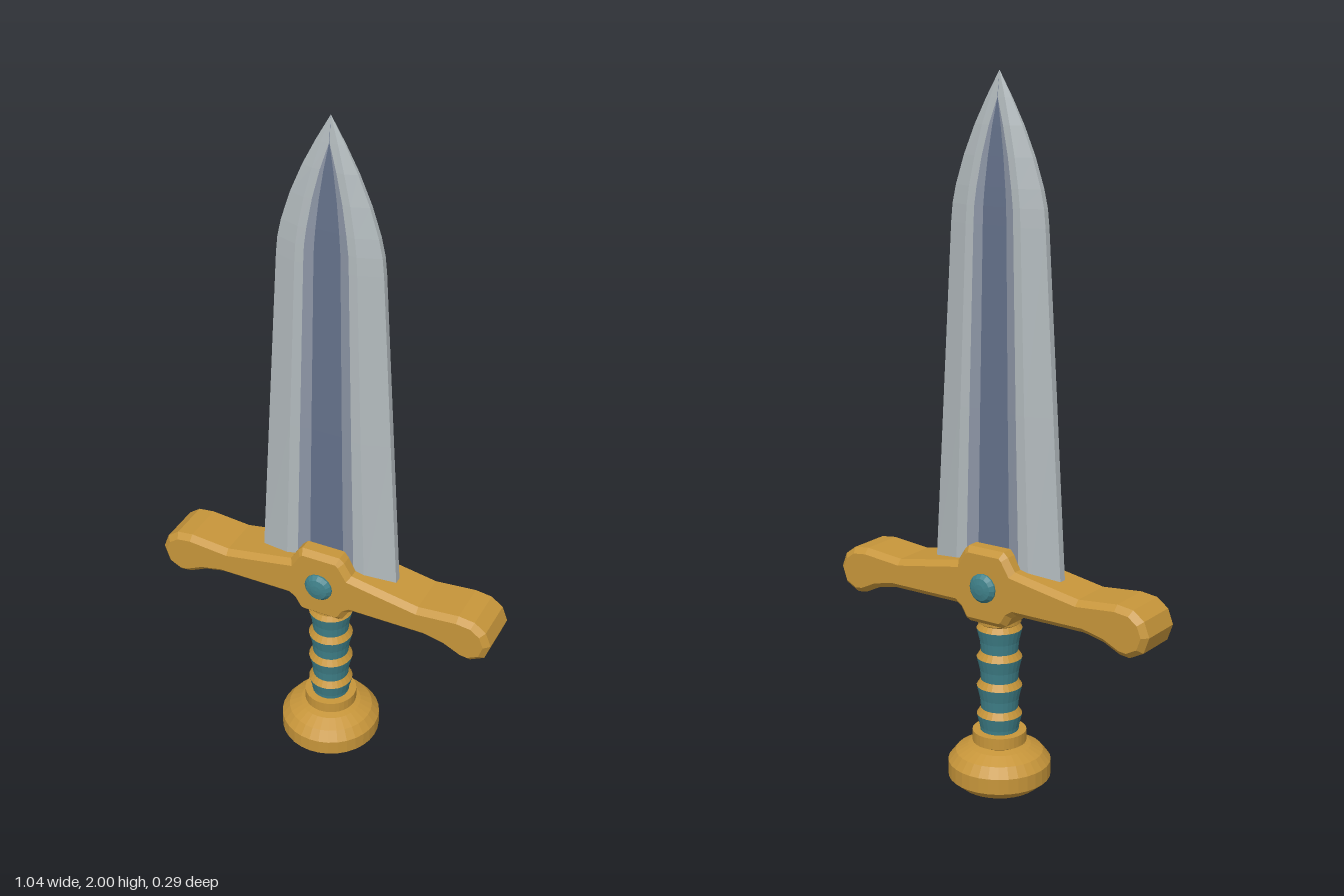
import * as THREE from 'three';

const mat = (name, color) => {
  const m = new THREE.MeshStandardMaterial({ color });
  m.name = name;
  return m;
};

export function createModel() {
  const gold = mat('gold', 0xc6953a);
  const teal = mat('teal', 0x3f8089);
  const steel = mat('steel', 0xb2babd);
  const midSteel = mat('shaded steel', 0x8c95a5);
  const darkSteel = mat('fuller steel', 0x64718a);

  const group = new THREE.Group();
  group.name = 'sword';
  const add = (name, geometry, material, parent = group) => {
    const mesh = new THREE.Mesh(geometry, material);
    mesh.name = name;
    parent.add(mesh);
    return mesh;
  };
  // faceted surface of revolution
  const lathe = (points, sides = 24) => {
    const g = new THREE.LatheGeometry(points.map(p => new THREE.Vector2(...p)), sides).toNonIndexed();
    g.computeVertexNormals();
    return g;
  };

  // Pommel with its collar
  add('pommel', lathe([[0, 0], [0.115, 0], [0.147, 0.027], [0.147, 0.072], [0.125, 0.1], [0.09, 0.118],
    [0.066, 0.124], [0.077, 0.13], [0.077, 0.163], [0.045, 0.165]], 32), gold);

  // Grip: flared wraps, each topped by a sloping gold ring
  const step = 0.086, start = 0.145;
  for (let i = 0; i < 4; i++) {
    const y = start + i * step;
    add('gripWrap', lathe([[0.053, y], [0.056, y + 0.03], [0.065, y + step - 0.019]]), teal);
    add('gripRing', lathe([[0.065, y + step - 0.019], [0.053, y + step]]), gold);
  }
  add('gripCollar', lathe([[0.05, 0.482], [0.062, 0.49], [0.062, 0.52]]), gold);

  // Crossguard: mirrored outline with bevelled rim
  const half = [[0.058, 0.718], [0.072, 0.705], [0.095, 0.668], [0.15, 0.658], [0.3, 0.632], [0.42, 0.643],
    [0.468, 0.637], [0.502, 0.612], [0.518, 0.57], [0.502, 0.524], [0.46, 0.502], [0.43, 0.506],
    [0.38, 0.53], [0.32, 0.543], [0.1, 0.543], [0.085, 0.533], [0.068, 0.505], [0.055, 0.498]];
  const outline = [...half, ...half.map(([x, y]) => [-x, y]).reverse()];
  const guard = new THREE.ExtrudeGeometry(new THREE.Shape(outline.map(p => new THREE.Vector2(...p))), {
    depth: 0.126, bevelEnabled: true, bevelSegments: 1, bevelThickness: 0.016, bevelSize: 0.016, bevelOffset: -0.016,
  });
  guard.translate(0, 0, -0.063);
  add('crossguard', guard, gold);

  // Gem on both faces of the guard
  for (const side of [1, -1]) {
    const gem = add(side > 0 ? 'frontGem' : 'backGem',
      lathe([[0.042, 0.07], [0.042, 0.084], [0.032, 0.095], [0.015, 0.099], [0, 0.1]], 16), teal);
    gem.rotation.x = side * Math.PI / 2;
    gem.position.y = 0.608;
  }

  // Blade: rows of [height, half width, half thickness, fuller width factor]
  const rows = [[0.62, 0.211, 0.038, 1], [1.1, 0.182, 0.036, 1], [1.6, 0.152, 0.031, 1], [1.65, 0.147, 0.03, 1],
    [1.7, 0.136, 0.028, 0.97], [1.78, 0.11, 0.023, 0.9], [1.86, 0.076, 0.017, 0.7],
    [1.93, 0.04, 0.009, 0.05], [2, 0, 0, 0]];
  const section = ([y, w, t, f]) => {
    const s = [[1, 0.3], [0.58, 1], [0.42 * f, 1 - 0.06 * f], [0.25 * f, 1 - 0.26 * f]];
    const right = s.map(([x, z]) => [x * w, y, z * t]);
    const left = right.map(([x, yy, z]) => [-x, yy, z]);
    return [...left, ...right.reverse(), [w, y, -0.3 * t]];
  };
  const rings = rows.map(section);
  const strips = (columns) => {
    const pos = [];
    for (const c of columns) {
      for (let i = 0; i < rings.length - 1; i++) {
        const a = rings[i][c], b = rings[i][c + 1], d = rings[i + 1][c], e = rings[i + 1][c + 1];
        pos.push(...a, ...b, ...e);
        if (i < rings.length - 2) pos.push(...a, ...e, ...d);
      }
    }
    const g = new THREE.BufferGeometry();
    g.setAttribute('position', new THREE.Float32BufferAttribute(pos, 3));
    g.computeVertexNormals();
    return g;
  };
  const blade = new THREE.Group();
  blade.name = 'blade';
  group.add(blade);
  for (const turn of [0, Math.PI]) {
    const face = new THREE.Group();
    face.name = turn ? 'bladeBack' : 'bladeFront';
    face.rotation.y = turn;
    blade.add(face);
    add('bladeEdges', strips([0, 1, 5, 6, 7]), steel, face);
    add('fullerSlopes', strips([2, 4]), midSteel, face);
    add('fuller', strips([3]), darkSteel, face);
  }
  return group;
}
